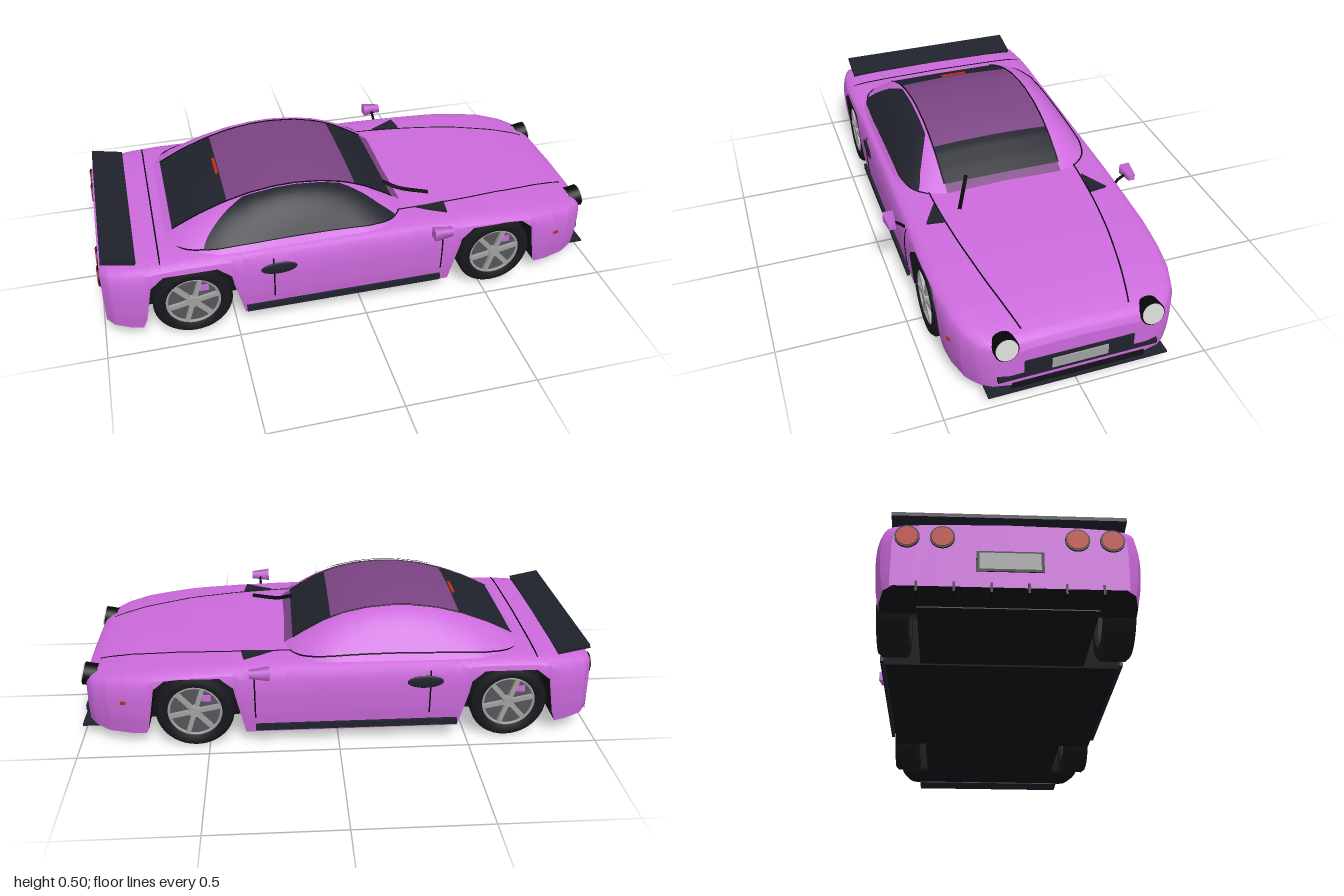
import * as THREE from 'three';

const mat = (name, color) => {
  const m = new THREE.MeshStandardMaterial({ color });
  m.name = name;
  return m;
};

// piecewise linear lookup through [x, value] pairs
const lookup = (pts, x) => {
  if (x <= pts[0][0]) return pts[0][1];
  for (let i = 1; i < pts.length; i++) {
    const [x0, a] = pts[i - 1], [x1, b] = pts[i];
    if (x <= x1) return a + (b - a) * (x - x0) / (x1 - x0);
  }
  return pts[pts.length - 1][1];
};

// smooth skin over rows of [x, y, z] points
function skin(rows) {
  const n = rows[0].length, index = [];
  for (let i = 0; i < rows.length - 1; i++) {
    for (let j = 0; j < n - 1; j++) {
      const a = i * n + j, b = a + n;
      index.push(a, b, a + 1, b, b + 1, a + 1);
    }
  }
  const g = new THREE.BufferGeometry();
  g.setAttribute('position', new THREE.Float32BufferAttribute(rows.flat(2), 3));
  g.setIndex(index);
  g.computeVertexNormals();
  return g;
}
const range = (a, b, n) => Array.from({ length: n + 1 }, (_, i) => a + (b - a) * i / n);

// body plan, top line, underside and wheel arches
const WIDTH = [[-0.985, 0.385], [-0.96, 0.42], [-0.9, 0.44], [-0.8, 0.449], [0.55, 0.45], [0.7, 0.443],
  [0.8, 0.43], [0.88, 0.405], [0.94, 0.365], [0.97, 0.325], [0.985, 0.26]];
const TOP = [[-0.985, 0.315], [-0.96, 0.328], [-0.9, 0.335], [-0.7, 0.345], [0.2, 0.342], [0.4, 0.336],
  [0.6, 0.326], [0.8, 0.303], [0.9, 0.283], [0.95, 0.267], [0.975, 0.252], [0.985, 0.23]];
const BOTTOM = [[-0.985, 0.08], [-0.85, 0.05], [0.9, 0.05], [0.985, 0.07]];
const ARCH = [[-0.195, 0], [-0.15, 0.25], [-0.1, 0.29], [0.1, 0.29], [0.15, 0.25], [0.195, 0]];
const SIDE = [[0, 0.955], [0.35, 0.99], [0.7, 1], [0.9, 0.99], [1, 0.975]];
const CROWN = [[0, 0], [0.6, 0.004], [0.8, 0.008], [0.9, 0.013], [0.95, 0.022], [0.975, 0.034]];
const AXLES = [-0.66, 0.55];

const width = x => lookup(WIDTH, x);
const low = x => Math.max(lookup(BOTTOM, x), ...AXLES.map(a => lookup(ARCH, x - a)));
const deck = (x, z) => lookup(TOP, x) - lookup(CROWN, Math.abs(z) / width(x));
const sideZ = (x, y) => width(x) * lookup(SIDE, (y - 0.05) / (lookup(TOP, x) - 0.084));

function section(x) {
  const w = width(x), belt = lookup(TOP, x) - 0.034;
  const half = range(Math.min(low(x), belt - 0.003), belt, 8).map(y => [x, y, sideZ(x, y)]);
  for (const f of [0.95, 0.9, 0.8, 0.6, 0.3]) half.push([x, deck(x, f * w), f * w]);
  return [...half, [x, deck(x, 0), 0], ...half.map(([a, y, z]) => [a, y, -z]).reverse()];
}
const STATIONS = [...new Set([...range(-0.95, 0.92, 50), ...WIDTH.map(p => p[0]), ...TOP.map(p => p[0]),
  ...AXLES.flatMap(a => ARCH.map(p => a + p[0]))])].sort((a, b) => a - b);

// cabin outline
const ROOF = [[-0.74, 0.335], [-0.68, 0.37], [-0.6, 0.412], [-0.5, 0.453], [-0.4, 0.482], [-0.3, 0.497], [-0.22, 0.5],
  [-0.12, 0.491], [-0.03, 0.47], [0.05, 0.437], [0.12, 0.395], [0.18, 0.355], [0.21, 0.335]];
const CABIN = [[-0.74, 0.25], [-0.7, 0.33], [-0.65, 0.38], [-0.55, 0.41], [-0.4, 0.415], [0.03, 0.41],
  [0.1, 0.395], [0.16, 0.355], [0.21, 0.26]];
const BASE = 0.33;
const cabinSide = (x, t, s = 1, out = 0) => [x,
  BASE + (lookup(ROOF, x) - BASE) * 0.935 * Math.sin(t * Math.PI / 2) + out,
  s * (0.24 + (lookup(CABIN, x) - 0.24) * (1 - t) + out)];
const cabinTop = (x, v) => [x, BASE + (lookup(ROOF, x) - BASE) * (1 - 0.065 * v * v), -0.24 * v];

export function createModel() {
  const car = new THREE.Group();
  car.name = 'car';
  const paint = mat('orchid paint', 0xcc6adc), roofTint = mat('plum roof', 0x7c4484);
  const glass = mat('dark glass', 0x20222c), rubber = mat('tyre black', 0x17181c);
  const under = mat('underbody', 0x121217), line = mat('seam black', 0x07070a);
  const silver = mat('silver', 0xa0a0a0), rimGrey = mat('rim grey', 0x55565a);
  const lamp = mat('lamp white', 0xd4d4d2), red = mat('lamp red', 0xb8301f);

  const add = (name, geo, m, parent = car) => {
    const mesh = new THREE.Mesh(geo, m);
    mesh.name = name;
    parent.add(mesh);
    return mesh;
  };
  const box = (name, size, pos, m, parent = car) => {
    const b = add(name, new THREE.BoxGeometry(...size), m, parent);
    b.position.set(...pos);
    return b;
  };
  const seam = (name, pts, r = 0.003) => add(name, new THREE.TubeGeometry(
    new THREE.CatmullRomCurve3(pts.map(p => new THREE.Vector3(...p))), pts.length * 3, r, 5), line);
  const disc = (name, r, depth, pos, m, tilt = 0) => {
    const g = new THREE.CylinderGeometry(r, r, depth, 28).rotateZ(-Math.PI / 2);
    const d = add(name, g, m);
    d.position.set(...pos);
    d.rotation.z = tilt;
    return d;
  };

  // body shell, end faces and floor with wheel wells
  const rows = STATIONS.map(section);
  add('body', skin(rows), paint);
  const flat = r => r.map(([x, , z]) => [x, r[0][1], z]);
  const tail = rows[0], nose = rows[rows.length - 1];
  add('nosePanel', skin([nose, flat(nose)]), paint);
  add('tailPanel', skin([flat(tail), tail]), paint);
  add('floor', skin(STATIONS.map(x => range(-1, 1, 4).map(v => [x, low(x), v * sideZ(x, low(x))]))), under);
  box('chassisCore', [1.7, 0.24, 0.6], [-0.04, 0.175, 0], under);

  // cabin
  for (const s of [1, -1]) {
    add('cabinSide', skin(range(-0.74, 0.21, 44).map(x => {
      const r = range(0, 1, 10).map(t => cabinSide(x, t, s));
      return s > 0 ? r : r.reverse();
    })), paint);
    seam('roofEdgeSeam', range(-0.7, 0.17, 24).map(x => cabinSide(x, 0.99, s, 0.001)));
    seam('windowSeam', range(-0.7, 0.18, 24).map(x => cabinSide(x, 0.1, s, 0.001)));
  }
  const panels = [['rearRim', -0.74, -0.7, paint], ['rearWindow', -0.7, -0.485, glass],
    ['roof', -0.485, 0.02, roofTint], ['windscreen', 0.02, 0.17, glass], ['windscreenRim', 0.17, 0.21, roofTint]];
  for (const [name, a, b, m] of panels) {
    add(name, skin(range(a, b, 14).map(x => range(-1, 1, 12).map(v => cabinTop(x, v)))), m);
  }
  // side glass, on the one glazed side
  add('sideWindow', skin(range(0, 1, 24).map(s => range(0.1, 0.93, 10).map(t => {
    const a = -0.6 + 0.2 * t * t, b = 0.16 - 0.24 * t * t;
    return cabinSide(a + (b - a) * s, t, 1, 0.004);
  }))), glass);
  box('brakeLight', [0.012, 0.008, 0.11], [-0.495, 0.457, 0], red);

  // deck seams and wiper
  seam('bootSeam', range(-0.41, 0.41, 16).map(z => [-0.765, deck(-0.765, z), z]));
  seam('wiper', [[0.16, 0.372, 0.15], [0.22, 0.35, 0.18], [0.33, 0.344, 0.23]], 0.008);

  // details on both flanks
  for (const s of [1, -1]) {
    const onSide = (x, y) => [x, y, s * sideZ(x, y)];
    seam('bonnetSeam', range(0.02, 0.93, 20).map(x => {
      const z = s * (0.31 - 0.11 * Math.pow((x - 0.02) / 0.91, 2.2));
      return [x, deck(x, z), z];
    }));
    seam('doorFrontSeam', range(0.12, 0.3, 6).map(y => onSide(0.32, y)));
    seam('doorRearSeam', range(0.12, 0.3, 6).map(y => onSide(-0.35, y)));
    const handle = add('doorHandle', new THREE.SphereGeometry(1, 20, 10), glass);
    handle.scale.set(0.07, 0.026, 0.006);
    handle.position.set(-0.33, 0.256, s * 0.449);
    box('sill', [0.78, 0.025, 0.012], [-0.07, 0.077, s * 0.442], glass);
    box('sideMarker', [0.02, 0.012, 0.006], [0.82, 0.19, s * 0.425], red).rotation.y = s * 0.25;

    // bonnet vent
    const vent = new THREE.Shape([[0.25, 0.31], [0.37, 0.3], [0.36, 0.37]].map(p => new THREE.Vector2(p[0], s * p[1])));
    const ventGeo = new THREE.ExtrudeGeometry(vent, { depth: 0.008, bevelEnabled: false }).rotateX(Math.PI / 2);
    ventGeo.scale(1, 1, 1);
    add('bonnetVent', ventGeo, glass).position.y = 0.34;

    // wing mirror
    seam('mirrorStalk', [[0.3, 0.295, s * 0.44], [0.3, 0.315, s * 0.46], [0.3, 0.33, s * 0.485]], 0.006);
    const housing = new THREE.CylinderGeometry(0.018, 0.029, 0.075, 4, 1).rotateY(Math.PI / 4).rotateZ(-Math.PI / 2);
    add('mirror', housing.toNonIndexed(), paint).position.set(0.3, 0.335, s * 0.495);

    // headlight and rear lamps
    disc('headlightRim', 0.045, 0.05, [0.96, 0.239, s * 0.27], line, 0.2);
    disc('headlight', 0.04, 0.056, [0.962, 0.24, s * 0.27], lamp, 0.2);
    for (const z of [0.22, 0.335]) {
      disc('rearLampRim', 0.041, 0.016, [-0.983, 0.262, s * z], line);
      disc('rearLamp', 0.035, 0.022, [-0.983, 0.262, s * z], red);
    }
    for (const z of [0.06, 0.18, 0.3]) box('diffuserFin', [0.05, 0.035, 0.008], [-0.965, 0.078, s * z], line);
  }

  // nose: grille, plate and splitter
  box('grille', [0.03, 0.075, 0.41], [0.975, 0.135, 0], glass);
  box('lowerIntake', [0.05, 0.022, 0.6], [0.962, 0.105, 0], glass);
  box('frontPlate', [0.008, 0.042, 0.21], [0.991, 0.136, 0], silver);
  box('splitter', [0.1, 0.008, 0.68], [0.95, 0.05, 0], glass);
  box('chinStrip', [0.03, 0.025, 0.5], [0.974, 0.066, 0], under);

  // tail: plate and spoiler
  box('rearPlateFrame', [0.008, 0.075, 0.22], [-0.985, 0.175, 0], line);
  box('rearPlate', [0.008, 0.06, 0.2], [-0.988, 0.175, 0], silver);
  box('spoiler', [0.125, 0.016, 0.78], [-0.912, 0.346, 0], glass).rotation.z = -0.2;

  // wheels, built facing +z
  const tyre = new THREE.LatheGeometry([[0.1, -0.055], [0.138, -0.055], [0.15, -0.042], [0.15, 0.042], [0.138, 0.055],
    [0.106, 0.055], [0.1, 0.04]].map(p => new THREE.Vector2(...p)), 40).rotateX(Math.PI / 2);
  for (const x of AXLES) for (const s of [1, -1]) {
    const wheel = new THREE.Group();
    wheel.name = 'wheel';
    wheel.position.set(x, 0.15, s * 0.385);
    if (s < 0) wheel.rotation.y = Math.PI;
    add('tyre', tyre, rubber, wheel);
    add('rimBack', new THREE.CylinderGeometry(0.102, 0.102, 0.08, 36).rotateX(Math.PI / 2), rimGrey, wheel);
    add('rimLip', new THREE.TorusGeometry(0.1, 0.006, 6, 36), silver, wheel).position.z = 0.046;
    for (let i = 0; i < 6; i++) {
      const a = i * Math.PI / 3 + 0.2;
      const spoke = box('spoke', [0.09, 0.017, 0.014], [Math.cos(a) * 0.055, Math.sin(a) * 0.055, 0.046], silver, wheel);
      spoke.rotation.z = a;
    }
    add('hub', new THREE.CylinderGeometry(0.022, 0.026, 0.022, 18).rotateX(Math.PI / 2), silver, wheel).position.z = 0.046;
    box('caliper', [0.035, 0.025, 0.008], [0.045, 0.052, 0.041], paint, wheel);
    car.add(wheel);
  }
  return car;
}
